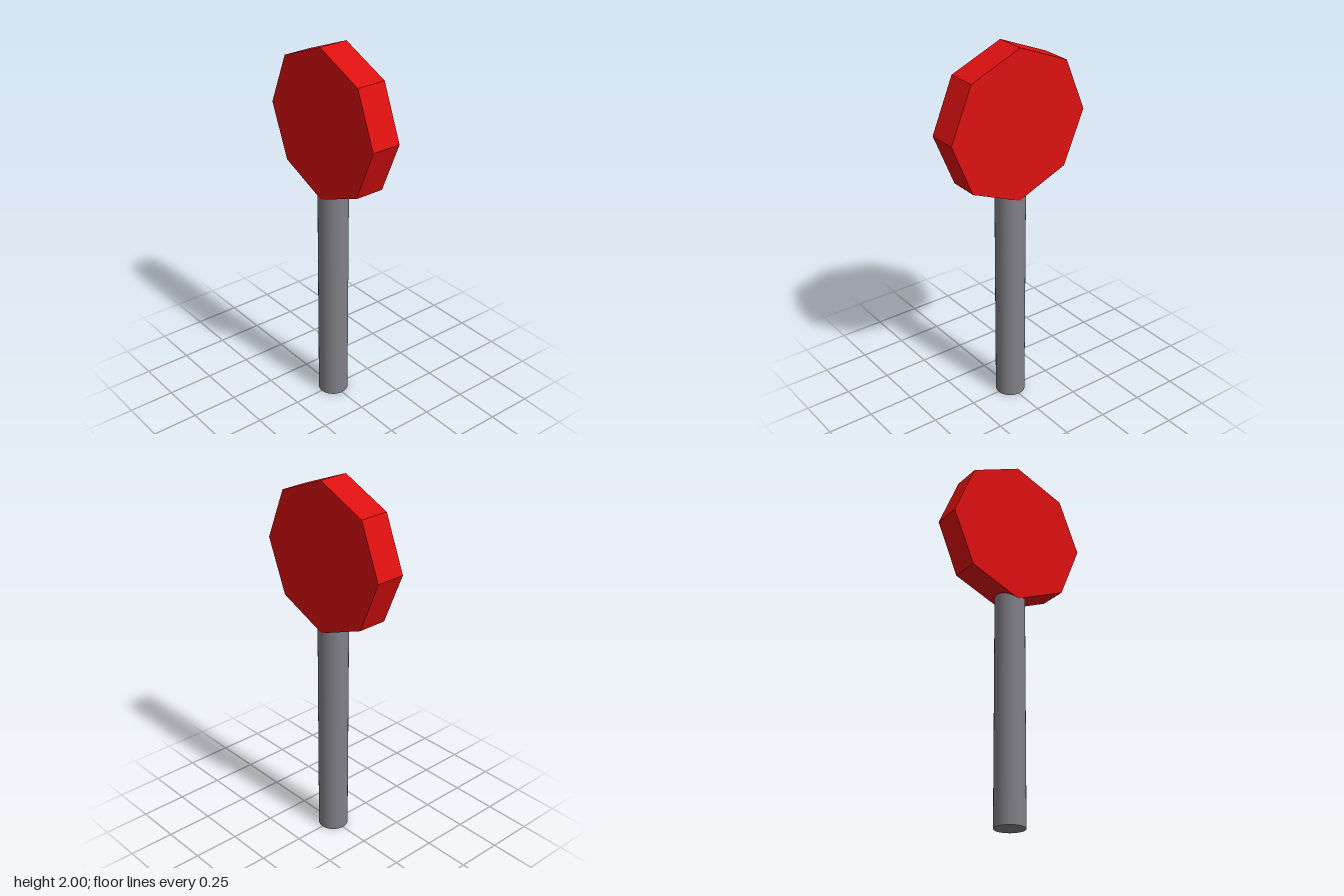
import * as THREE from 'three';

export function createModel() {
  const group = new THREE.Group();
  group.name = 'stopSign';

  const red = new THREE.MeshStandardMaterial({ color: 0xdd1010 });
  red.name = 'signRed';
  const grey = new THREE.MeshStandardMaterial({ color: 0x808087 });
  grey.name = 'postGrey';

  // Round post, its top sunk into the lower edge of the sign
  const postHeight = 1.25;
  const post = new THREE.Mesh(
    new THREE.CylinderGeometry(0.08, 0.08, postHeight, 32), grey);
  post.name = 'post';
  post.position.y = postHeight / 2;
  group.add(post);

  // Eight-sided sign plate facing left and right, with a corner at the top
  const plate = new THREE.CylinderGeometry(0.4, 0.4, 0.16, 8)
    .rotateZ(Math.PI / 2)
    .toNonIndexed();
  plate.computeVertexNormals(); // flat facets
  const sign = new THREE.Mesh(plate, red);
  sign.name = 'signPlate';
  sign.position.y = 1.6;
  group.add(sign);

  return group;
}
